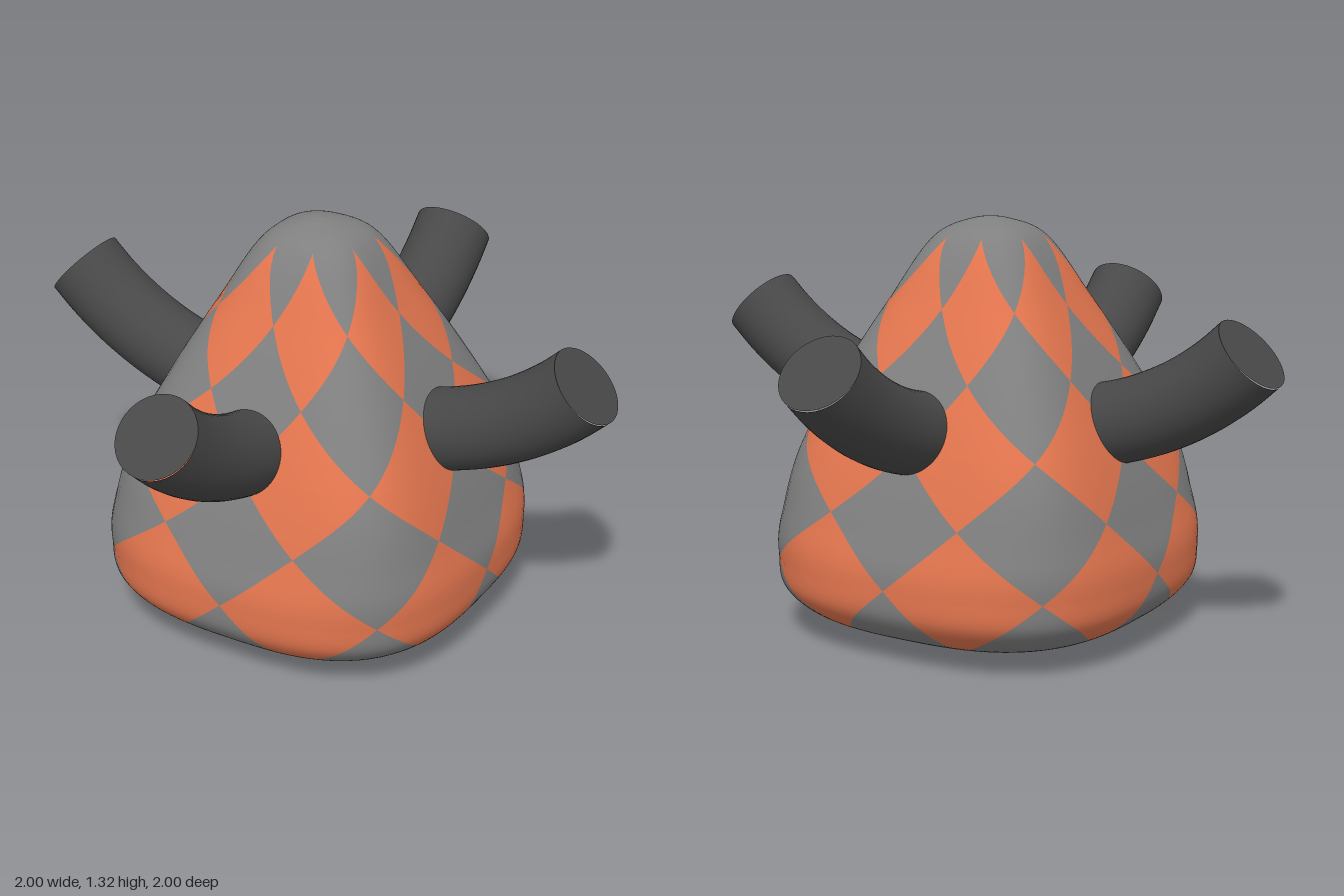
import * as THREE from 'three';

const mat = (name, color) => Object.assign(new THREE.MeshStandardMaterial({ color }), { name });

// Vertical profile of the body: half width, height, squareness of the section
const PROFILE = [
  [0, 1.32, 2], [0.06, 1.31, 2.2], [0.165, 1.255, 2.8], [0.28, 1.06, 3.5], [0.395, 0.845, 4.1],
  [0.485, 0.655, 4.4], [0.57, 0.42, 3.6], [0.61, 0.257, 3], [0.602, 0.16, 2.9], [0.53, 0.083, 2.8],
  [0.4, 0.036, 2.7], [0.2, 0.01, 2.6], [0, 0, 2.6],
];
const SECTORS = 16;                                // half diamonds around the body
const level = y => (y - 0.25) / 0.203;             // diamond rows, one unit per half diamond

// Rows of the body, from the top down, with extra rows exactly on the diamond corners
function bodyRows() {
  const curve = new THREE.CatmullRomCurve3(PROFILE.map(p => new THREE.Vector3(...p)));
  const rows = [];
  for (const p of curve.getPoints(96)) {
    p.x = Math.max(p.x, 0);
    const last = rows[rows.length - 1];
    if (last) {
      const a = level(last.y), b = level(p.y), n = Math.floor(a);
      if (n > b && n < a) rows.push(last.clone().lerp(p, (a - n) / (a - b)));
    }
    rows.push(p);
  }
  return rows;
}

// Point on a rounded-square section
function bodyPoint(row, u) {
  const t = u * Math.PI * 2 / SECTORS, c = Math.cos(t), s = Math.sin(t), n = row.z;
  const r = row.x * (Math.abs(c) ** n + Math.abs(s) ** n) ** (-1 / n);
  return new THREE.Vector3(r * c, row.y, -r * s);
}

// Body surface, divided along the diamond edges into two colours
function makeBody(grey, orange) {
  const rows = bodyRows(), last = rows.length - 1, steps = 5;
  const parts = [grey, orange].map(() => ({ pos: [], nor: [] }));

  const normal = (i, u) => {
    if (i === 0) return new THREE.Vector3(0, 1, 0);
    if (i === last) return new THREE.Vector3(0, -1, 0);
    const along = bodyPoint(rows[i], u + 0.02).sub(bodyPoint(rows[i], u - 0.02));
    const up = bodyPoint(rows[i - 1], u).sub(bodyPoint(rows[i + 1], u));
    return along.cross(up).normalize();
  };
  const put = (part, i, u) => {
    part.pos.push(...bodyPoint(rows[i], u).toArray());
    part.nor.push(...normal(i, u).toArray());
  };

  for (let i = 0; i < last; i++) {
    const n = Math.floor(level((rows[i].y + rows[i + 1].y) / 2));
    for (let k = 0; k < SECTORS; k++) {
      // where the slanted diamond edge crosses this sector on a given row
      const edge = j => {
        const f = THREE.MathUtils.clamp(level(rows[j].y) - n, 0, 1);
        return (k + n) % 2 === 0 ? f : 1 - f;
      };
      const e0 = edge(i), e1 = edge(i + 1);
      for (let side = 0; side < 2; side++) {
        const isGrey = n >= 5 || (k + side) % 2 === 0;
        const part = parts[isGrey ? 0 : 1];
        const at = (e, s) => k + (side === 0 ? e * s : e + (1 - e) * s);
        for (let j = 0; j < steps; j++) {
          const s0 = j / steps, s1 = (j + 1) / steps;
          const a = [i, at(e0, s0)], b = [i + 1, at(e1, s0)];
          const c = [i + 1, at(e1, s1)], d = [i, at(e0, s1)];
          for (const q of [a, b, c, a, c, d]) put(part, ...q);
        }
      }
    }
  }

  const body = new THREE.Group();
  body.name = 'body';
  parts.forEach((part, i) => {
    const geo = new THREE.BufferGeometry();
    geo.setAttribute('position', new THREE.Float32BufferAttribute(part.pos, 3));
    geo.setAttribute('normal', new THREE.Float32BufferAttribute(part.nor, 3));
    const mesh = new THREE.Mesh(geo, i ? orange : grey);
    mesh.name = i ? 'orangeDiamonds' : 'greyDiamonds';
    body.add(mesh);
  });
  return body;
}

// One upward-bending arm with a flat end
function makeArm(material) {
  const arm = new THREE.Group(), radius = 0.13, points = [];
  for (let i = 0; i <= 8; i++) {
    const a = i / 8 * Math.PI / 4;
    points.push(new THREE.Vector3(0.2 + Math.sin(a), 1.677 - Math.cos(a), 0));
  }
  const tube = new THREE.Mesh(
    new THREE.TubeGeometry(new THREE.CatmullRomCurve3(points), 32, radius, 40), material);
  tube.name = 'armTube';
  const cap = new THREE.Mesh(
    new THREE.CircleGeometry(radius, 40).rotateY(Math.PI / 2).rotateZ(Math.PI / 4), material);
  cap.name = 'armEnd';
  cap.position.copy(points[8]);
  arm.add(tube, cap);
  return arm;
}

export function createModel() {
  const model = new THREE.Group();
  model.name = 'diamondBodyWithArms';
  const grey = mat('bodyGrey', 0x808080);
  const orange = mat('diamondOrange', 0xe2754e);
  const dark = mat('armDarkGrey', 0x484848);

  model.add(makeBody(grey, orange));
  ['leftArm', 'backArm', 'rightArm', 'frontArm'].forEach((name, i) => {
    const arm = makeArm(dark);
    arm.name = name;
    arm.rotation.y = i * Math.PI / 2;
    model.add(arm);
  });
  return model;
}
